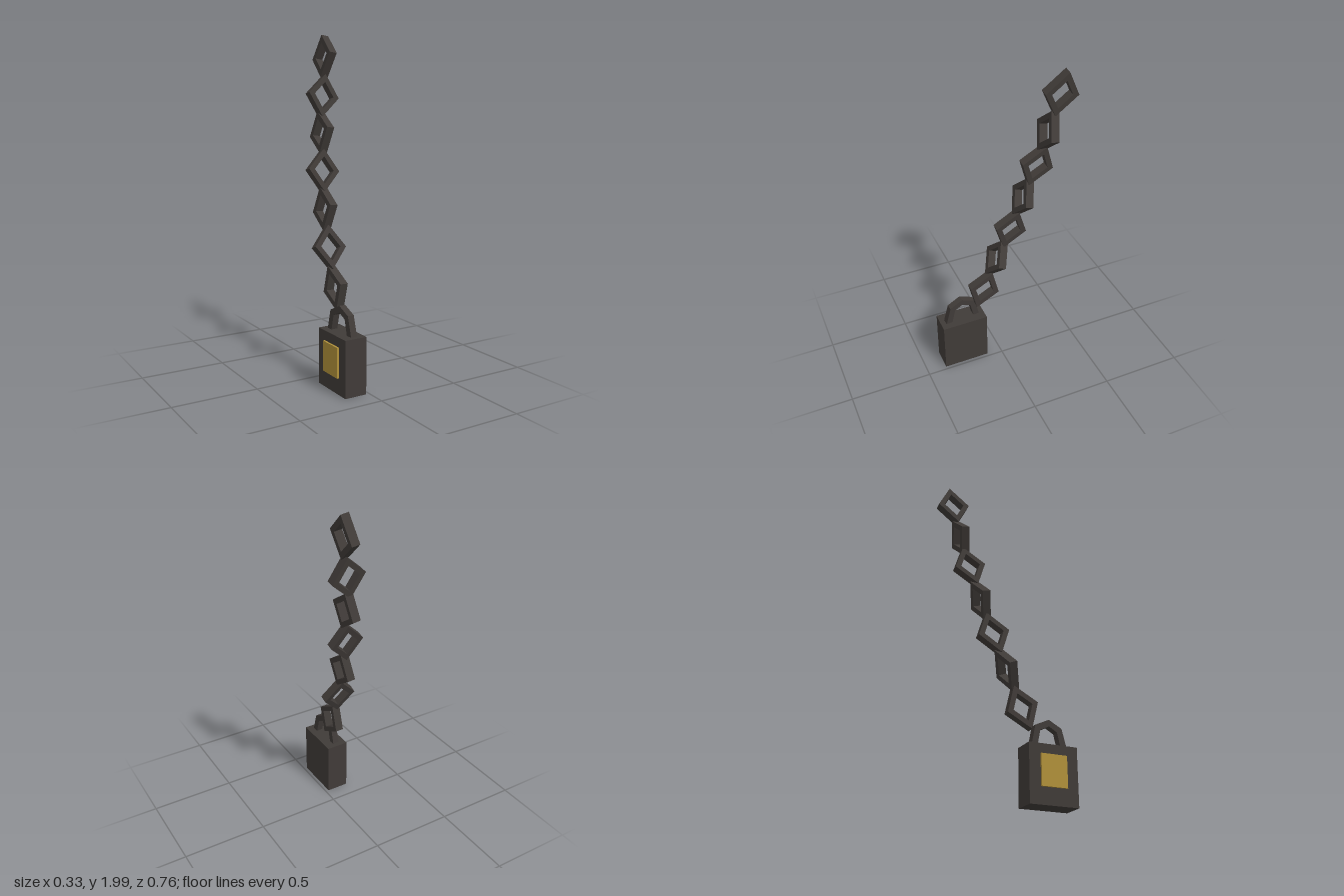
import * as THREE from 'three';

const iron = new THREE.MeshStandardMaterial({ color: 0x403b38, flatShading: true });
const brass = new THREE.MeshStandardMaterial({ color: 0xb0903a, flatShading: true });

function add(parent, name, geometry, material) {
  const mesh = new THREE.Mesh(geometry, material);
  mesh.name = name;
  parent.add(mesh);
  return mesh;
}

// Flat outline extruded and centred on its own depth
function slab(shape, depth) {
  return new THREE.ExtrudeGeometry(shape, { depth, bevelEnabled: false }).translate(0, 0, -depth / 2);
}

// Diamond-shaped chain link with a diamond hole
function linkGeometry() {
  const diamond = (k) => [[0.1, 0], [0, 0.13], [-0.1, 0], [0, -0.13]]
    .map(([x, y]) => new THREE.Vector2(x * k, y * k));
  const shape = new THREE.Shape(diamond(1));
  shape.holes.push(new THREE.Path(diamond(0.63)));
  return slab(shape, 0.048);
}

export function createModel() {
  const model = new THREE.Group();
  model.name = 'padlockAndChain';

  // Lock body and the brass plate on its side
  add(model, 'lockBody', new THREE.BoxGeometry(0.135, 0.327, 0.286), iron)
    .position.set(-0.0875, 0.1635, 0.237);
  add(model, 'keyPlate', new THREE.BoxGeometry(0.014, 0.175, 0.152), brass)
    .position.set(-0.16, 0.183, 0.236);

  // Faceted shackle arch, drawn in the z-y plane
  const arch = [
    [0.115, 0.31], [0.08, 0.44], [0, 0.48], [-0.085, 0.44], [-0.115, 0.31],
    [-0.078, 0.31], [-0.055, 0.415], [0, 0.442], [0.05, 0.415], [0.075, 0.31],
  ].map(([z, y]) => new THREE.Vector2(-z, y));
  const shackle = add(model, 'shackle', slab(new THREE.Shape(arch), 0.04), iron);
  shackle.position.set(-0.088, 0, 0.238);
  shackle.rotation.y = Math.PI / 2 + 0.07;

  // Chain: each link has a centre and a long-axis direction; every other one turns sideways
  const links = [
    [[-0.049, 0.546, 0.102], [0.003, 0.125, -0.055]],
    [[-0.042, 0.765, 0.018], [0.0125, 0.12, -0.048]],
    [[-0.022, 0.978, -0.06], [0.014, 0.12, -0.042]],
    [[0.001, 1.193, -0.128], [0.0175, 0.12, -0.035]],
    [[0.034, 1.414, -0.19], [0.018, 0.125, -0.045]],
    [[0.065, 1.627, -0.238], [0.025, 0.122, -0.025]],
    [[0.105, 1.861, -0.28], [0.02, 0.135, -0.028]],
  ];
  const geometry = linkGeometry();
  links.forEach(([centre, axis], i) => {
    const up = new THREE.Vector3(...axis).normalize();
    const side = i % 2 ? new THREE.Vector3(1, 0, 0) : new THREE.Vector3(0, 0, 1);
    side.addScaledVector(up, -side.dot(up)).normalize();
    const normal = new THREE.Vector3().crossVectors(side, up);
    const link = add(model, 'chainLink' + (i + 1), geometry, iron);
    link.quaternion.setFromRotationMatrix(new THREE.Matrix4().makeBasis(side, up, normal));
    link.position.set(...centre);
  });

  return model;
}
